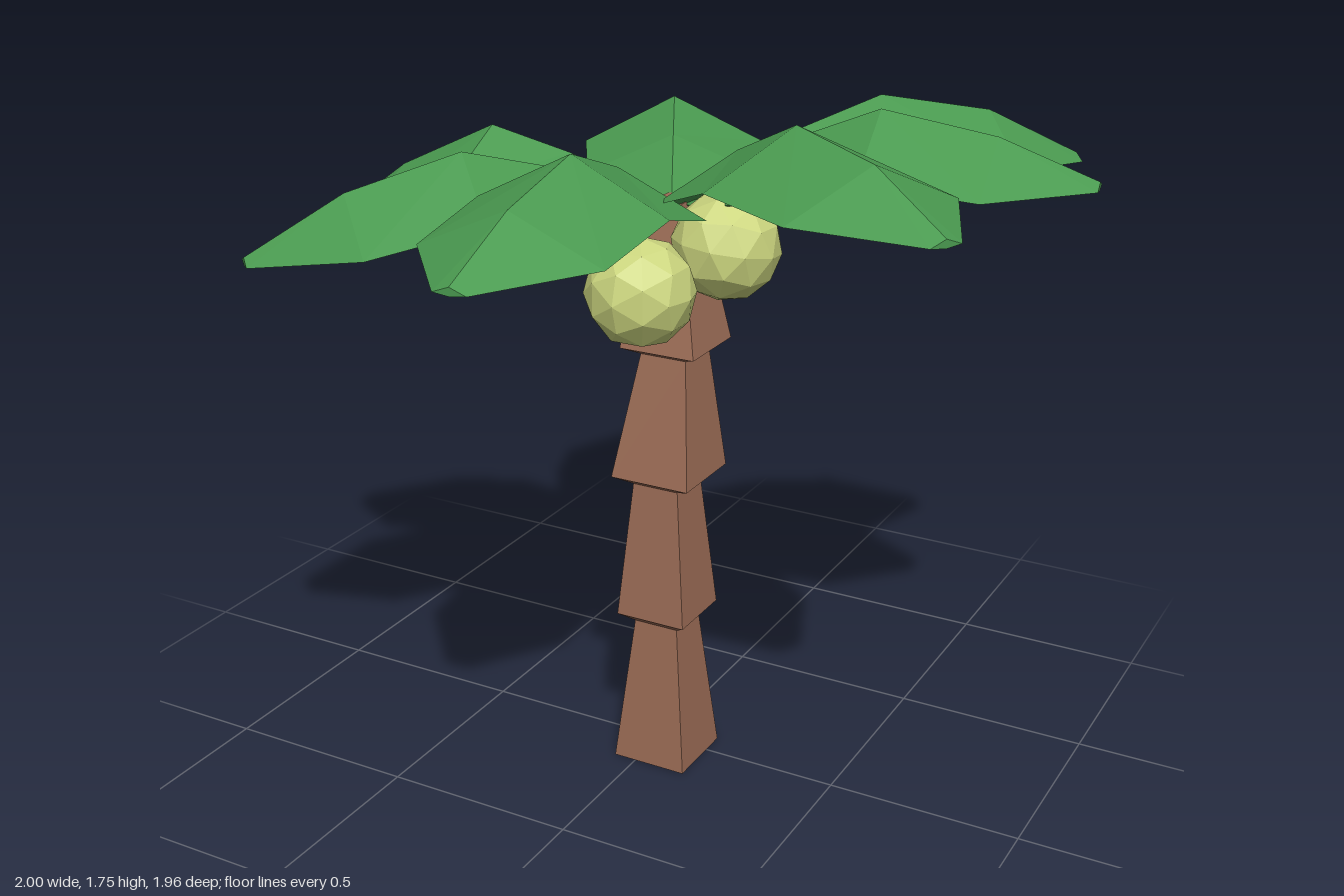
import * as THREE from 'three';

const mat = (color, double) => new THREE.MeshStandardMaterial({
  color, flatShading: true, side: double ? THREE.DoubleSide : THREE.FrontSide,
});

// Skins a list of equal-length rings (counter-clockwise seen from the last ring) and caps both ends
function loft(rings) {
  const n = rings[0].length;
  const out = [];
  const tri = (a, b, c) => out.push(...a, ...b, ...c);
  for (let i = 0; i < rings.length - 1; i++) {
    for (let j = 0; j < n; j++) {
      const k = (j + 1) % n;
      const [a, b, c, d] = [rings[i][j], rings[i][k], rings[i + 1][k], rings[i + 1][j]];
      // alternate the diagonal so both halves mirror each other
      if (j % 2) { tri(a, b, c); tri(a, c, d); } else { tri(a, b, d); tri(b, c, d); }
    }
  }
  const first = rings[0], last = rings[rings.length - 1];
  for (let j = 1; j < n - 1; j++) {
    tri(first[0], first[j + 1], first[j]);
    tri(last[0], last[j], last[j + 1]);
  }
  const geo = new THREE.BufferGeometry();
  geo.setAttribute('position', new THREE.Float32BufferAttribute(out, 3));
  geo.computeVertexNormals();
  return geo;
}

// Square trunk ring: centre x, height, centre z, half width
const square = ([x, y, z, h]) =>
  [[1, 1], [1, -1], [-1, -1], [-1, 1]].map(([sx, sz]) => [x + sx * h, y, z + sz * h]);

const CROWN = new THREE.Vector3(0, 1.47, -0.06);

// Frond stations along the rib: fraction of length, half width, edge drop, thickness
const STATIONS = [
  [0.02, 0.015, 0.01, 0.02],
  [0.28, 0.222, 0.10, 0.03],
  [0.50, 0.235, 0.12, 0.03],
  [0.77, 0.222, 0.10, 0.03],
  [1.00, 0.040, 0.015, 0.02],
];

// Drooping frond: tip position on the plan, and rib heights at the middle, outer bend and tip
function frond([tx, tz, yMid, yBend, yTip]) {
  const dx = tx - CROWN.x, dz = tz - CROWN.z;
  const len = Math.hypot(dx, dz);
  const sx = dz / len, sz = -dx / len;
  const heights = [CROWN.y, CROWN.y + (yMid - CROWN.y) * 0.64, yMid, yBend, yTip];
  return loft(STATIONS.map(([t, w, drop, thick], i) => {
    const x = CROWN.x + dx * t, z = CROWN.z + dz * t, y = heights[i];
    return [
      [x + sx * w, y - drop, z + sz * w],
      [x, y, z],
      [x - sx * w, y - drop, z - sz * w],
      [x, y - thick, z],
    ];
  }));
}

export function createModel() {
  const model = new THREE.Group();
  const add = (name, geometry, material, parent = model) => {
    const mesh = new THREE.Mesh(geometry, material);
    mesh.name = name;
    parent.add(mesh);
    return mesh;
  };

  // Trunk of four stacked tapering blocks, leaning slightly back at the top
  add('trunk', loft([
    [0.04, 0, 0.035, 0.10],
    [0.04, 0.39, 0.035, 0.06],
    [0.04, 0.415, 0.033, 0.094],
    [0.036, 0.77, 0.028, 0.062],
    [0.04, 0.795, 0.025, 0.106],
    [0.04, 1.105, -0.005, 0.062],
    [0.042, 1.125, -0.005, 0.101],
    [0.015, 1.475, -0.05, 0.04],
  ].map(square)), mat(0x9a6b55));

  // Fronds
  const fronds = new THREE.Group();
  fronds.name = 'fronds';
  model.add(fronds);
  const green = mat(0x4a9a50, true);
  [
    [-0.47, -0.965, 1.61, 1.48, 1.31],
    [0.79, -0.74, 1.70, 1.65, 1.53],
    [0.995, -0.235, 1.725, 1.68, 1.595],
    [0.90, 0.485, 1.755, 1.73, 1.635],
    [0.06, 0.97, 1.695, 1.64, 1.545],
    [-0.70, 0.69, 1.625, 1.55, 1.42],
    [-1.0, -0.025, 1.60, 1.47, 1.30],
  ].forEach((f) => add('frond', frond(f), green, fronds));

  // Nuts hanging under the crown
  const nuts = new THREE.Group();
  nuts.name = 'nuts';
  model.add(nuts);
  const nutMaterial = mat(0xccd67f);
  [
    [0.045, 1.308, 0.178],
    [-0.065, 1.335, -0.185],
    [0.175, 1.39, -0.01],
  ].forEach((p, i) => {
    const nut = add('nut', new THREE.IcosahedronGeometry(0.134, 1), nutMaterial, nuts);
    nut.position.set(...p);
    nut.rotation.set(0.2 * i, 0.7 * i, 0);
  });

  return model;
}
